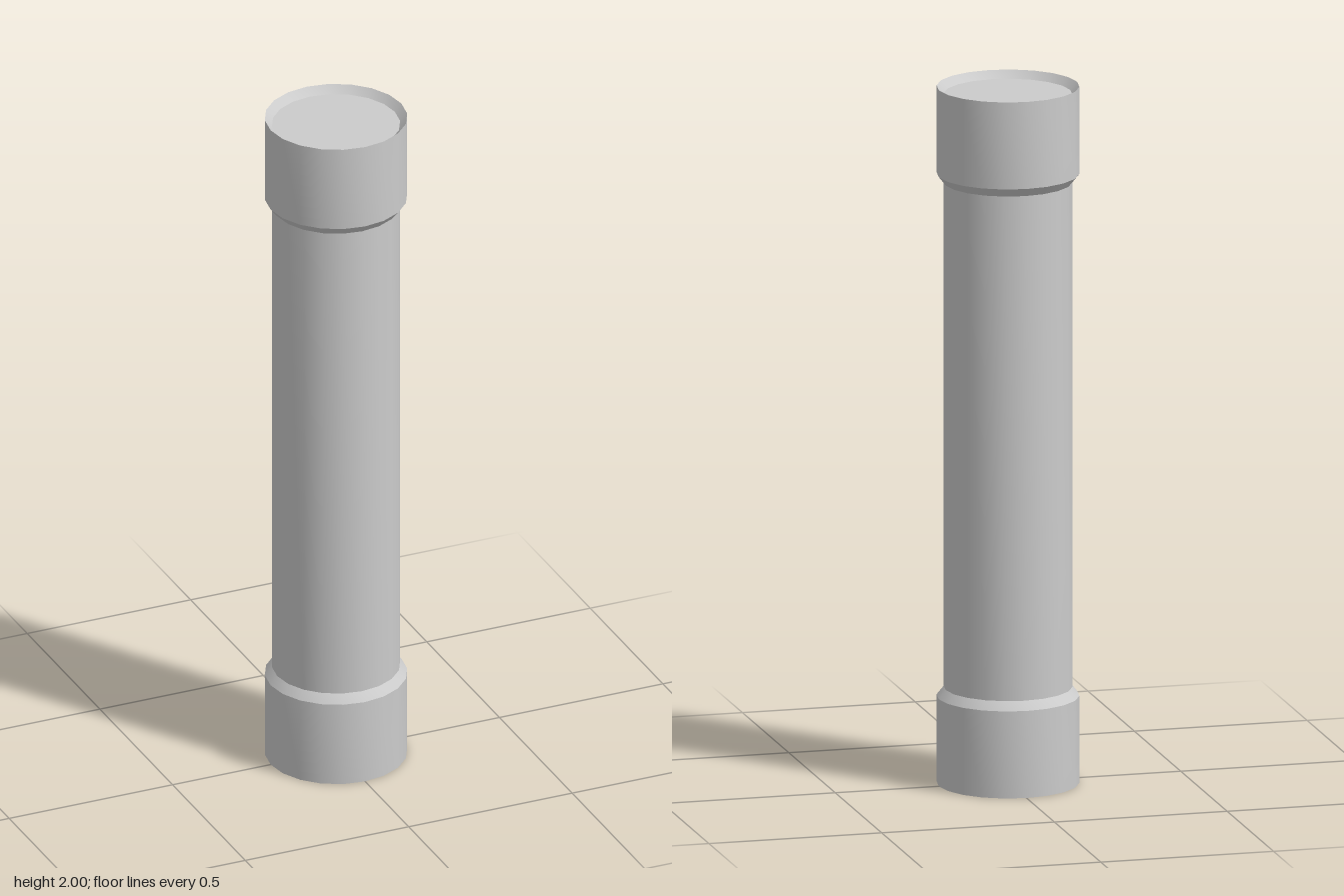
import * as THREE from 'three';
import { toCreasedNormals } from 'three/addons/utils/BufferGeometryUtils.js';

const SIDES = 20;
const HEIGHT = 2;
const SHAFT_R = 0.18;
const COLLAR_R = 0.2;
const RECESS = 0.022; // depth of the dished ends

const material = new THREE.MeshStandardMaterial({ color: 0xcccccc });

// Turned part from [radius, y] points, smooth around and sharp at profile corners
function turned(name, profile) {
  const points = profile.map(([r, y]) => new THREE.Vector2(r, y));
  const geometry = toCreasedNormals(new THREE.LatheGeometry(points, SIDES), 0.5);
  const mesh = new THREE.Mesh(geometry, material);
  mesh.name = name;
  return mesh;
}

// End collar: bevelled inner rim, straight wall, chamfer back to the shaft
function endCollar(name) {
  const group = new THREE.Group();
  group.name = name;
  group.add(turned(name + 'Ring', [
    [SHAFT_R, RECESS], [COLLAR_R, 0], [COLLAR_R, 0.25], [SHAFT_R, 0.275],
  ]));
  // Recessed end face, pointing down
  const cap = new THREE.Mesh(new THREE.CircleGeometry(SHAFT_R, SIDES), material);
  cap.name = name + 'EndFace';
  cap.rotation.x = Math.PI / 2;
  cap.position.y = RECESS;
  group.add(cap);
  return group;
}

export function createModel() {
  const model = new THREE.Group();
  model.name = 'collaredColumn';

  model.add(turned('shaft', [[SHAFT_R, 0.275], [SHAFT_R, HEIGHT - 0.275]]));
  model.add(endCollar('bottomCollar'));

  // The top collar is the bottom one turned over
  const top = endCollar('topCollar');
  top.rotation.x = Math.PI;
  top.position.y = HEIGHT;
  model.add(top);

  return model;
}
